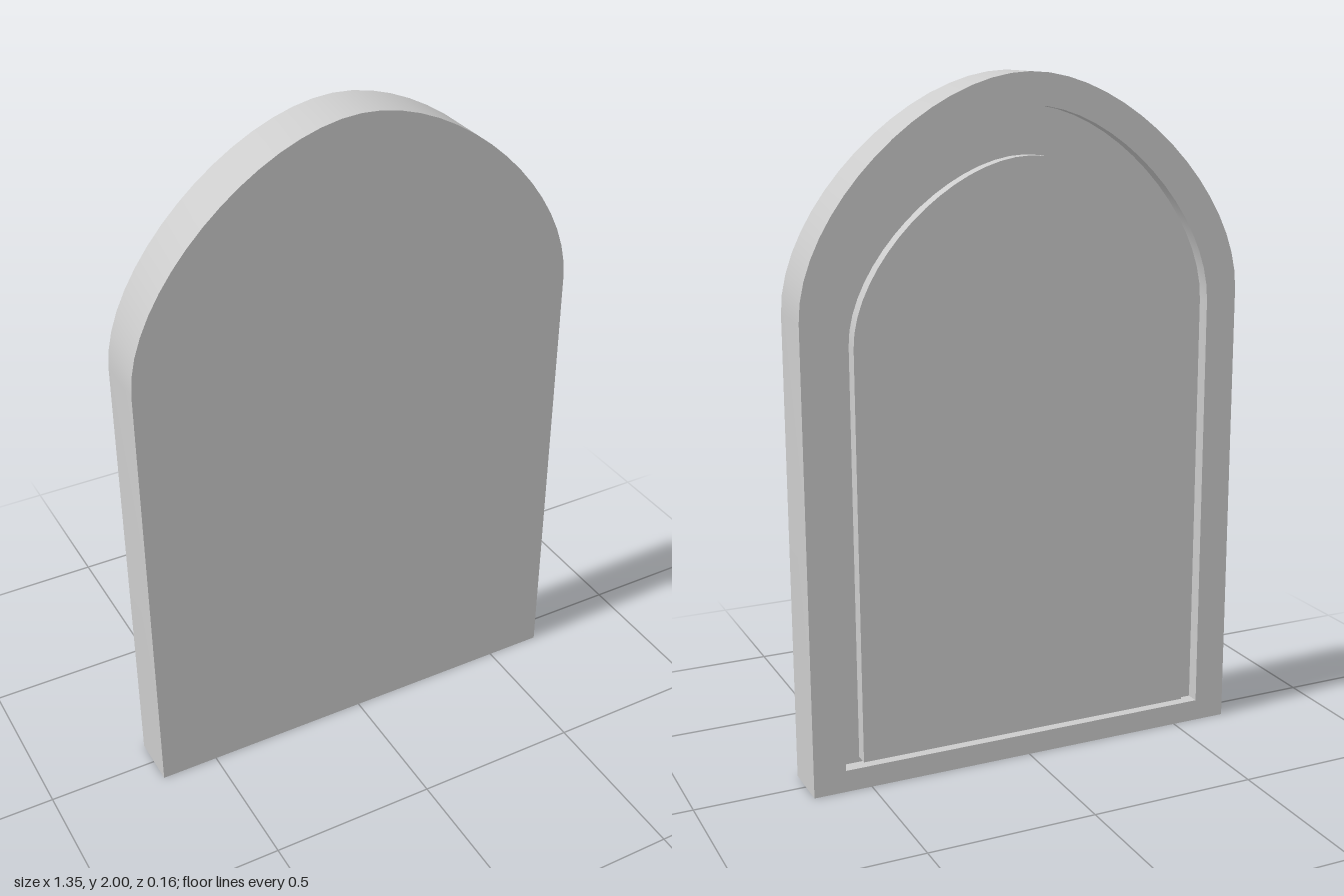
import * as THREE from 'three';
import { toCreasedNormals } from 'three/addons/utils/BufferGeometryUtils.js';

const material = new THREE.MeshStandardMaterial({ color: 0xcccccc, side: THREE.DoubleSide });
const BACK = -0.078, FRONT = 0.078, FLOOR = -0.038;

// Arched outline, counter-clockwise from the bottom +x corner to the bottom -x corner
function arch(halfWidth, bottom, spring, top) {
  const k = 0.45, rise = top - spring;
  const shape = new THREE.Shape();
  shape.moveTo(halfWidth, bottom);
  shape.lineTo(halfWidth, spring);
  shape.bezierCurveTo(halfWidth, spring + k * rise, k * halfWidth, top, 0, top);
  shape.bezierCurveTo(-k * halfWidth, top, -halfWidth, spring + k * rise, -halfWidth, spring);
  shape.lineTo(-halfWidth, bottom);
  return shape.getPoints(16);
}

// Strip of quads joining two outlines; closed also spans the bottom edge
function strip(a, za, b, zb, closed = true) {
  const position = [];
  const n = a.length;
  for (let i = 0; i < (closed ? n : n - 1); i++) {
    const j = (i + 1) % n;
    const a0 = [a[i].x, a[i].y, za], a1 = [a[j].x, a[j].y, za];
    const b0 = [b[i].x, b[i].y, zb], b1 = [b[j].x, b[j].y, zb];
    position.push(...a0, ...b0, ...a1, ...a1, ...b0, ...b1);
  }
  const geometry = new THREE.BufferGeometry();
  geometry.setAttribute('position', new THREE.Float32BufferAttribute(position, 3));
  return toCreasedNormals(geometry, Math.PI / 6);
}

// Flat arched face at depth z, facing forwards or backwards
function face(outline, z, backwards = false) {
  const geometry = new THREE.ShapeGeometry(new THREE.Shape(outline));
  if (backwards) geometry.rotateY(Math.PI);
  return geometry.translate(0, 0, z);
}

export function createModel() {
  const group = new THREE.Group();
  const add = (name, geometry) => {
    const mesh = new THREE.Mesh(geometry, material);
    mesh.name = name;
    group.add(mesh);
  };

  const outer = arch(0.673, 0, 1.36, 2);
  const opening = arch(0.577, 0.065, 1.33, 1.91);
  const panel = arch(0.523, 0.08, 1.28, 1.775);

  // Plain front and outer wall, open underneath
  add('frontFace', face(outer, FRONT));
  add('outerWall', strip(outer, FRONT, outer, BACK, false));

  // Back frame around a recessed groove
  add('backFrame', strip(outer, BACK, opening, BACK));
  add('grooveOuterWall', strip(opening, BACK, opening, FLOOR));
  add('grooveFloor', strip(opening, FLOOR, panel, FLOOR));

  // Raised back panel, level with the frame
  add('panelEdge', strip(panel, FLOOR, panel, BACK));
  add('backPanel', face(panel, BACK, true));

  return group;
}
